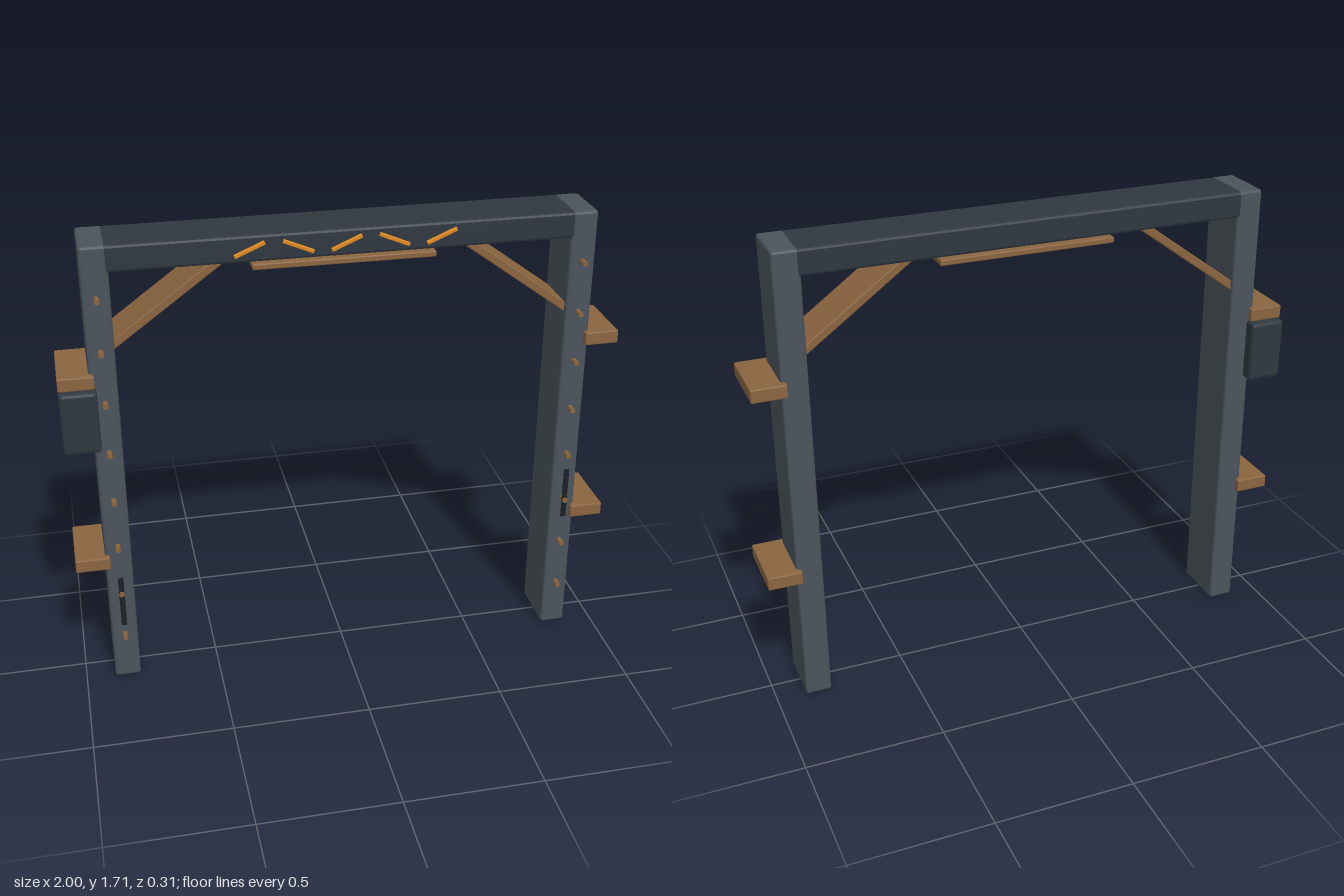
import * as THREE from 'three';
import { RoundedBoxGeometry } from 'three/addons/geometries/RoundedBoxGeometry.js';

const paint = (color) => new THREE.MeshStandardMaterial({ color, flatShading: true });

export function createModel() {
  const model = new THREE.Group();
  const slate = paint(0x4b535c);
  const darkSlate = paint(0x2f3740);
  const black = paint(0x1c2024);
  const wood = paint(0x8b6540);
  const orange = paint(0xe08a1e);

  // Box with chamfered edges, placed by its centre and tilted about z
  function block(name, material, size, position, bevel, tilt = 0) {
    const mesh = new THREE.Mesh(new RoundedBoxGeometry(...size, 1, bevel), material);
    mesh.name = name;
    mesh.position.set(...position);
    mesh.rotation.z = tilt;
    model.add(mesh);
    return mesh;
  }

  // Lintel across the top
  block('topBeam', darkSlate, [1.78, 0.095, 0.209], [0, 1.662, 0], 0.01);

  const pegGeometry = new THREE.CylinderGeometry(0.01, 0.01, 0.04, 8).rotateX(Math.PI / 2);

  for (const side of [-1, 1]) {
    const prefix = side > 0 ? 'left' : 'right';
    block(prefix + 'Post', slate, [0.095, 1.71, 0.21], [side * 0.845, 0.855, 0], 0.01);

    // Diagonal plank in the corner
    block(prefix + 'Brace', wood, [0.5, 0.03, 0.18], [side * 0.61, 1.492, 0], 0.004, -side * 0.631);

    // Outer shelves
    for (const y of [0.515, 1.235]) {
      block(prefix + 'Shelf', wood, [0.125, 0.05, 0.252], [side * 0.9375, y, 0], 0.005);
    }

    // Row of pegs up the front of the post
    for (let i = 0; i < 8; i++) {
      const peg = new THREE.Mesh(pegGeometry, wood);
      peg.name = prefix + 'Peg';
      peg.position.set(side * 0.845, 0.192 + i * 0.191, 0.117);
      model.add(peg);
    }

    // Thin strip hanging on a peg
    block(prefix + 'HangingStrip', black, [0.02, 0.205, 0.005],
      [side * 0.845, side > 0 ? 0.603 : 0.348, 0.127], 0.001);
  }

  // Storage box under the upper right shelf
  block('storageBox', darkSlate, [0.13, 0.23, 0.305], [-0.935, 1.096, 0], 0.012);

  // Board slung below the beam
  block('hangingBoard', wood, [0.64, 0.022, 0.165], [0, 1.588, 0], 0.004);

  // Zigzag of bright slats on the beam front
  for (let i = 0; i < 5; i++) {
    block('zigzagSlat', orange, [0.113, 0.013, 0.013],
      [-0.333 + i * 0.165, 1.665, 0.118], 0.002, i % 2 ? -0.4 : 0.4);
  }

  return model;
}
